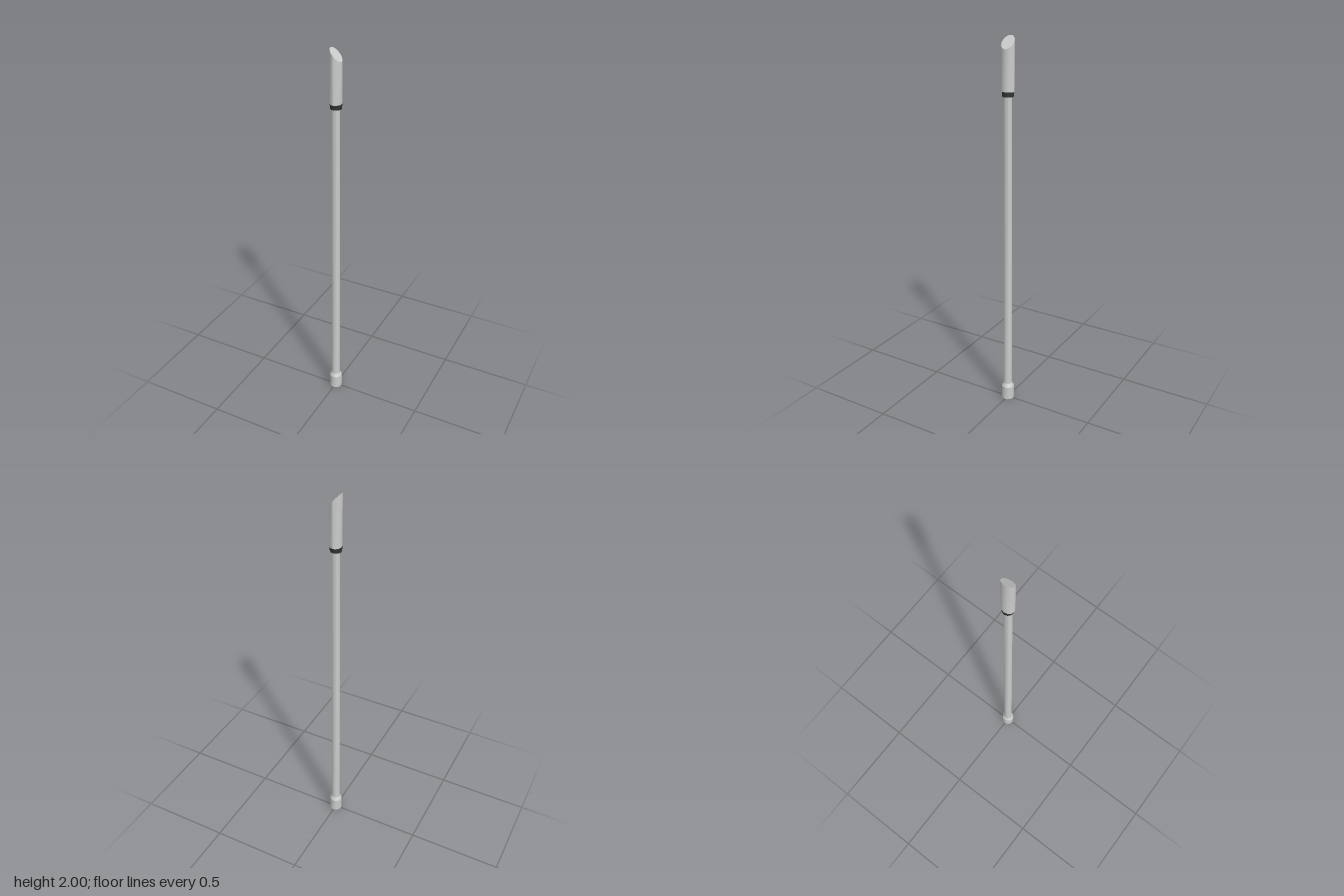
import * as THREE from 'three';
import { toCreasedNormals } from 'three/addons/utils/BufferGeometryUtils.js';

const SIDES = 12;
const grey = new THREE.MeshStandardMaterial({ color: 0xcccccc });
const dark = new THREE.MeshStandardMaterial({ color: 0x333333 });

function addPart(group, name, geometry, material) {
  const mesh = new THREE.Mesh(toCreasedNormals(geometry, 0.6), material);
  mesh.name = name;
  group.add(mesh);
}

// Closed, tapering round section between two heights.
function section(rBottom, rTop, y0, y1) {
  return new THREE.CylinderGeometry(rTop, rBottom, y1 - y0, SIDES).translate(0, (y0 + y1) / 2, 0);
}

export function createModel() {
  const group = new THREE.Group();
  group.name = 'lampPost';

  // Foot sleeve with a sloped shoulder
  addPart(group, 'footSleeve', section(0.034, 0.034, 0, 0.075), grey);
  addPart(group, 'footShoulder', section(0.034, 0.0235, 0.075, 0.095), grey);

  // Slender tapering pole
  addPart(group, 'pole', section(0.0232, 0.0195, 0.09, 1.72), grey);

  // Dark collar under the lamp head
  addPart(group, 'collar', section(0.0285, 0.03, 1.71, 1.735), dark);

  // Slightly flattened lamp head, its top cut on a slant falling towards +x
  const head = section(0.034, 0.034, 1.735, 2).scale(0.86, 1, 1);
  const p = head.attributes.position;
  for (let i = 0; i < p.count; i++) {
    if (p.getY(i) > 1.9) p.setY(i, 1.969 - p.getX(i) * 1.06);
  }
  addPart(group, 'lampHead', head, grey);

  return group;
}
